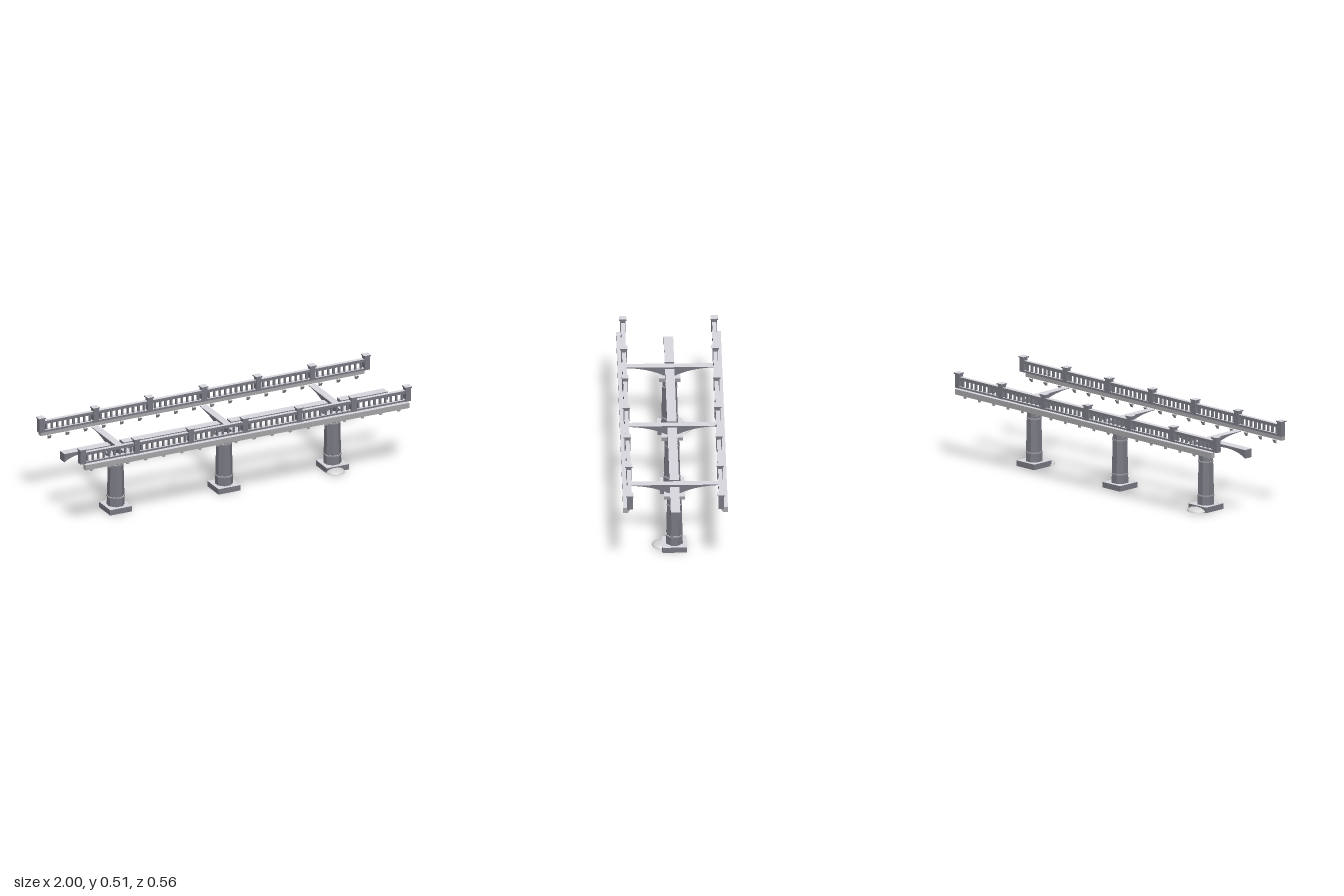
import * as THREE from 'three';

const mat = (name, color) => Object.assign(new THREE.MeshStandardMaterial({ color }), { name });

export function createModel() {
  const stone = mat('dark stone', 0x787882);
  const trim = mat('trim stone', 0x98989e);
  const edging = mat('edge stone', 0xa6a6a9);
  const pale = mat('weathered top', 0xd8d8df);
  const silt = mat('silt', 0xd2d2d3);
  stone.flatShading = trim.flatShading = edging.flatShading = pale.flatShading = true;

  const model = new THREE.Group();
  model.name = 'bridge';
  const PIER = 0.653;

  // Gives the upward faces of a geometry their own material group (index 1)
  const splitTops = (source) => {
    const geo = source.index ? source.toNonIndexed() : source;
    geo.clearGroups();
    const p = geo.attributes.position;
    const tri = new THREE.Triangle();
    const n = new THREE.Vector3();
    for (let i = 0; i < p.count; i += 3) {
      tri.setFromAttributeAndIndices(p, i, i + 1, i + 2).getNormal(n);
      const index = n.y > 0.9 ? 1 : 0;
      const last = geo.groups[geo.groups.length - 1];
      if (last && last.materialIndex === index) last.count += 3;
      else geo.addGroup(i, 3, index);
    }
    return geo;
  };
  const add = (parent, name, geo, material, x = 0, y = 0, z = 0) => {
    const m = new THREE.Mesh(geo, material);
    m.name = name;
    m.position.set(x, y, z);
    parent.add(m);
    return m;
  };
  const addTopped = (parent, name, geo, material, x, y, z) =>
    add(parent, name, splitTops(geo), [material, pale], x, y, z);
  // Box given by its bottom and top heights
  const box = (parent, name, material, w, y0, y1, d, x = 0, z = 0) =>
    addTopped(parent, name, new THREE.BoxGeometry(w, y1 - y0, d), material, x, (y0 + y1) / 2, z);
  // Regular octagonal prism with a flat side facing front, radii measured to the flats
  const octagon = (parent, name, material, rTop, rBottom, y0, y1) => {
    const k = 1 / Math.cos(Math.PI / 8);
    const g = new THREE.CylinderGeometry(rTop * k, rBottom * k, y1 - y0, 8).rotateY(Math.PI / 8);
    addTopped(parent, name, g, material, 0, (y0 + y1) / 2, 0);
  };
  // Side profile extruded to a thickness centred on z = 0
  const slab = (shape, depth) =>
    new THREE.ExtrudeGeometry(shape, { depth, bevelEnabled: false, curveSegments: 12 }).translate(0, 0, -depth / 2);

  // Bracket arms that carry the deck edges, running across the bridge
  const arm = new THREE.Shape();
  arm.moveTo(-0.247, 0.392);
  arm.lineTo(-0.247, 0.389);
  arm.quadraticCurveTo(-0.12, 0.387, -0.028, 0.34);
  arm.lineTo(0.028, 0.34);
  arm.quadraticCurveTo(0.12, 0.387, 0.247, 0.389);
  arm.lineTo(0.247, 0.392);
  arm.closePath();
  const armGeo = slab(arm, 0.042).rotateY(Math.PI / 2);

  // Piers
  for (const x of [-PIER, 0, PIER]) {
    const pier = new THREE.Group();
    pier.name = 'pier';
    pier.position.x = x;
    model.add(pier);
    box(pier, 'footing', stone, 0.133, 0, 0.031, 0.133);
    octagon(pier, 'column', stone, 0.038, 0.045, 0.031, 0.323);
    octagon(pier, 'lowerBand', trim, 0.047, 0.047, 0.079, 0.086);
    octagon(pier, 'upperBand', trim, 0.042, 0.042, 0.267, 0.274);
    box(pier, 'capital', trim, 0.114, 0.322, 0.342, 0.114);
    addTopped(pier, 'crossArm', armGeo, stone);
  }

  // Arched spine beams between and beyond the piers
  const spine = (x0, x1) => {
    const s = new THREE.Shape();
    const w = x1 - x0;
    s.moveTo(x0, 0.391);
    s.lineTo(x0, 0.343);
    s.bezierCurveTo(x0 + w * 0.22, 0.389, x1 - w * 0.22, 0.389, x1, 0.343);
    s.lineTo(x1, 0.391);
    s.closePath();
    addTopped(model, 'spineBeam', slab(s, 0.051), stone);
  };
  spine(-0.975, -PIER - 0.04);
  spine(-PIER + 0.037, -0.032);
  spine(0.032, PIER - 0.037);
  spine(PIER + 0.04, 0.975);

  // Deck edges with balustrades, mirrored front and back
  const corbel = new THREE.Shape();
  corbel.moveTo(0.241, 0.391);
  corbel.lineTo(0.255, 0.37);
  corbel.lineTo(0.257, 0.391);
  corbel.closePath();
  const corbelGeo = slab(corbel, 0.018).rotateY(-Math.PI / 2);

  const bay = 0.98 / 3;
  for (const side of [1, -1]) {
    const edge = new THREE.Group();
    edge.name = side > 0 ? 'frontParapet' : 'backParapet';
    if (side < 0) edge.rotation.y = Math.PI;
    model.add(edge);
    box(edge, 'edgeBeam', edging, 1.95, 0.391, 0.421, 0.026, 0, 0.269);
    box(edge, 'bottomRail', stone, 1.95, 0.42, 0.431, 0.024, 0, 0.246);
    box(edge, 'topRail', stone, 1.95, 0.467, 0.484, 0.022, 0, 0.246);
    for (let i = -3; i <= 3; i++) {
      box(edge, 'post', stone, 0.031, 0.421, 0.5, 0.031, i * bay, 0.246);
      box(edge, 'postCap', stone, 0.04, 0.499, 0.506, 0.04, i * bay, 0.247);
      if (i === 3) break;
      for (let j = 1; j <= 9; j++)
        box(edge, 'baluster', stone, 0.01, 0.43, 0.468, 0.012, (i + j / 10) * bay, 0.246);
    }
    for (let k = -9; k < 9; k++)
      addTopped(edge, 'corbel', corbelGeo, edging, (k + 0.5) * bay / 3, 0, 0);
  }

  // Low silt mounds against the outer footings
  for (const [x, z, r] of [[-0.655, -0.06, 0.061], [0.635, 0.07, 0.052]]) {
    const dome = new THREE.SphereGeometry(1, 20, 8, 0, Math.PI * 2, 0, Math.PI / 2);
    add(model, 'mound', dome, silt, x, 0.004, z).scale.set(r, 0.021, r);
    const disc = new THREE.CircleGeometry(r, 20).rotateX(Math.PI / 2);
    add(model, 'moundBase', disc, silt, x, 0.004, z);
  }
  return model;
}
